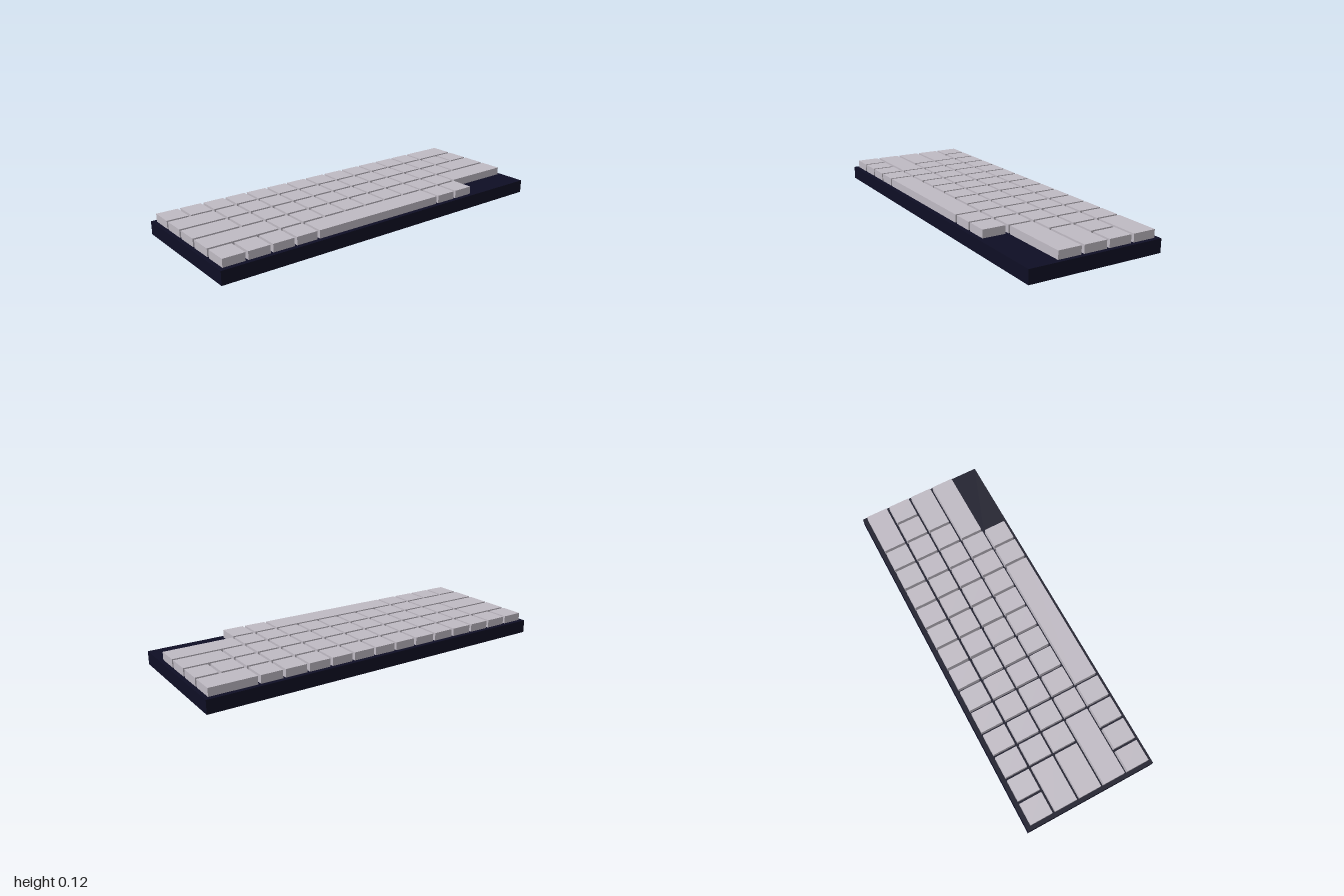
import * as THREE from 'three';

export function createModel() {
  const model = new THREE.Group();
  model.name = 'keyboard';
  const caseMaterial = new THREE.MeshStandardMaterial({ color: 0x0e0e24 });
  caseMaterial.name = 'dark navy';
  const keyMaterial = new THREE.MeshStandardMaterial({ color: 0xbfbac3 });
  keyMaterial.name = 'pale grey';

  function addBox(name, material, parent, w, h, d, x, y, z) {
    const mesh = new THREE.Mesh(new THREE.BoxGeometry(w, h, d), material);
    mesh.name = name;
    mesh.position.set(x, y, z);
    parent.add(mesh);
  }

  // Flat case
  const caseTop = 0.072;
  addBox('case', caseMaterial, model, 0.736, caseTop, 2, 0, caseTop / 2, 0);

  // Key rows run along z; each number is a key length in units, negative is a gap
  const ones = (n) => Array(n).fill(1);
  const rows = [
    [2, ...ones(13)],
    [...ones(13), 2],
    [2, ...ones(11), 2],
    [3, ...ones(9), 3],
    [-3, 1, 1, 6, ...ones(4)],
  ];
  const unit = 0.1314, rowPitch = 0.1407, gap = 0.0145, keyHeight = 0.043;
  rows.forEach((row, i) => {
    const group = new THREE.Group();
    group.name = `keyRow${i + 1}`;
    let z = -7.5 * unit;
    for (const size of row) {
      const length = Math.abs(size) * unit;
      if (size > 0) {
        addBox(size > 3 ? 'spaceBar' : 'key', keyMaterial, group, 0.125, keyHeight, length - gap,
          (i - 2) * rowPitch, caseTop + keyHeight / 2, z + length / 2);
      }
      z += length;
    }
    model.add(group);
  });
  return model;
}
